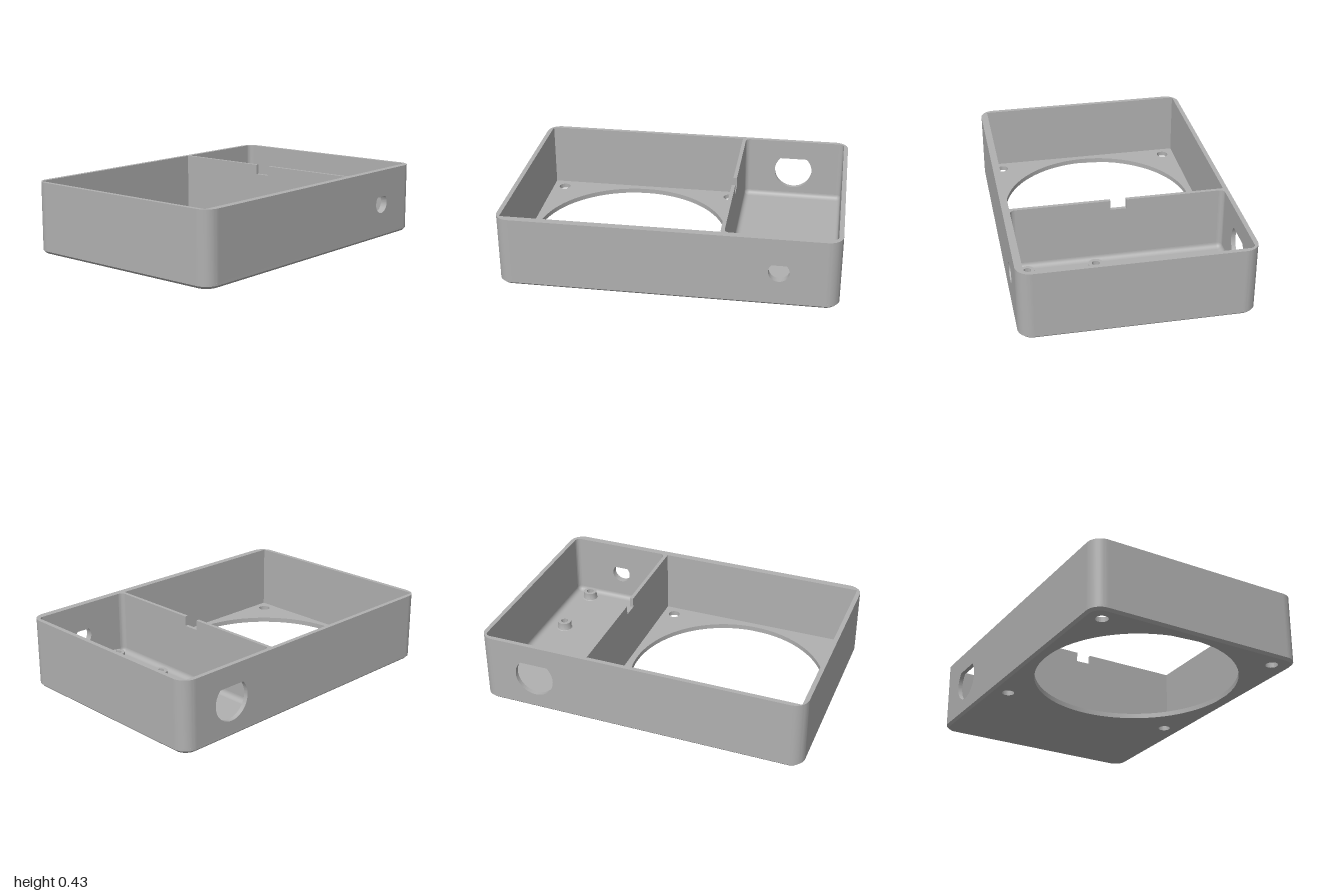
import * as THREE from 'three';
import { toCreasedNormals } from 'three/addons/utils/BufferGeometryUtils.js';

// Overall size
const W = 1, D = 0.679, H = 0.43, R = 0.085, FLOOR = 0.03, CHAMFER = 0.015;
// Inner faces of the walls
const IN_X = 0.973, BACK = -0.652, FRONT = 0.636, DIV_L = 0.31, DIV_R = 0.332;
const FILLET = 0.03;
const FAN = { x: -0.332, z: -0.008, r: 0.603, pitch: 0.566, screw: 0.037 };

export function createModel() {
  const group = new THREE.Group();
  const grey = new THREE.MeshStandardMaterial({ color: 0xb0b0b0 });
  grey.name = 'plain grey';

  const add = (name, geometry) => {
    const mesh = new THREE.Mesh(geometry, grey);
    mesh.name = name;
    group.add(mesh);
    return mesh;
  };
  const polygon = (pts) => new THREE.Shape(pts.map(([x, y]) => new THREE.Vector2(x, y)));
  const extrude = (shape, depth, steps = 1, curveSegments = 16) =>
    new THREE.ExtrudeGeometry(shape, { depth, steps, curveSegments, bevelEnabled: false });
  // Extrudes a plan drawn in (x, -z) upwards from y0 to y1
  const upright = (shape, y0, y1) =>
    toCreasedNormals(extrude(shape, y1 - y0).rotateX(-Math.PI / 2).translate(0, y0, 0), 0.5);
  const circle = (x, z, r) => new THREE.Path().absarc(x, -z, r, 0, Math.PI * 2, true);

  // Floor plate with the fan opening and four screw holes
  const plan = new THREE.Shape();
  [[1, 1], [-1, 1], [-1, -1], [1, -1]].forEach(([sx, sy], i) =>
    plan.absarc(sx * (W - R), sy * (D - R), R, i * Math.PI / 2, (i + 1) * Math.PI / 2, false));
  plan.closePath();
  plan.holes.push(circle(FAN.x, FAN.z, FAN.r));
  for (const sx of [-1, 1]) for (const sz of [-1, 1]) {
    plan.holes.push(circle(FAN.x + sx * FAN.pitch, FAN.z + sz * FAN.pitch, FAN.screw));
  }
  const floor = extrude(plan, FLOOR, 2, 40).rotateX(-Math.PI / 2);
  // Pull the lowest outline inwards to make the bottom chamfer
  const pos = floor.attributes.position;
  for (let i = 0; i < pos.count; i++) {
    if (pos.getY(i) > 0.001) continue;
    const x = pos.getX(i), z = pos.getZ(i);
    const dx = x - THREE.MathUtils.clamp(x, R - W, W - R);
    const dz = z - THREE.MathUtils.clamp(z, R - D, D - R);
    const d = Math.hypot(dx, dz);
    if (d > R - 0.001) {
      pos.setX(i, x - dx / d * CHAMFER);
      pos.setZ(i, z - dz / d * CHAMFER);
    }
  }
  add('floorPlate', toCreasedNormals(floor, 0.5));

  // Front and back walls, each with a teardrop cable hole
  const cableWall = (name, z0, z1, r) => {
    const wall = polygon([[R - W, FLOOR], [W - R, FLOOR], [W - R, H], [R - W, H]]);
    const cx = 0.65, cy = 0.219;
    const drop = new THREE.Path();
    drop.moveTo(cx, cy + r * Math.SQRT2);
    drop.absarc(cx, cy, r, Math.PI * 0.75, Math.PI * 2.25, false);
    drop.closePath();
    wall.holes.push(drop);
    add(name, toCreasedNormals(extrude(wall, z1 - z0, 1, 40).translate(0, 0, z0), 0.5));
  };
  cableWall('frontWall', FRONT, D, 0.061);
  cableWall('backWall', -D, BACK, 0.122);

  // Side walls and rounded outer corners
  for (const sx of [-1, 1]) {
    const side = new THREE.BoxGeometry(W - IN_X, H - FLOOR, 2 * (D - R));
    add(sx > 0 ? 'leftWall' : 'rightWall', side)
      .position.set(sx * (W + IN_X) / 2, (H + FLOOR) / 2, 0);
    for (const sz of [-1, 1]) {
      const zIn = sz > 0 ? FRONT : -BACK;
      const pts = [];
      for (let i = 0; i <= 16; i++) {
        const a = i / 16 * Math.PI / 2;
        pts.push([W - R + R * Math.cos(a), D - R + R * Math.sin(a)]);
      }
      pts.push([W - R, zIn], [IN_X, zIn], [IN_X, D - R]);
      add('outerCorner', upright(polygon(pts.map(([x, z]) => [sx * x, -sz * z])), FLOOR, H));
    }
  }

  // Divider between the compartments, with a wire notch in its top edge
  const n0 = -0.056, n1 = 0.04, notchY = H - 0.06;
  const divider = polygon([[BACK, FLOOR], [FRONT, FLOOR], [FRONT, H], [n1, H],
    [n1, notchY], [n0, notchY], [n0, H], [BACK, H]]);
  add('divider', extrude(divider, DIV_R - DIV_L).rotateY(-Math.PI / 2).translate(DIV_R, 0, 0));

  // Rounded upright inner corners of the small compartment
  for (const [x, sx] of [[DIV_R, 1], [IN_X, -1]]) for (const [z, sz] of [[BACK, 1], [FRONT, -1]]) {
    const pts = [[0, 0]];
    for (let i = 0; i <= 8; i++) {
      const a = i / 8 * Math.PI / 2;
      pts.push([FILLET * (1 - Math.sin(a)), FILLET * (1 - Math.cos(a))]);
    }
    add('innerCorner', upright(polygon(pts.map(([u, v]) => [x + sx * u, -(z + sz * v)])), FLOOR, H));
  }

  // Cove around the floor of the small compartment
  const verts = [], index = [], rows = 8, arc = 8, loop = 4 * (arc + 1);
  for (let k = 0; k <= rows; k++) {
    const t = k / rows * Math.PI / 2;
    const r = FILLET * Math.cos(t), y = FLOOR + 0.0005 + FILLET * (1 - Math.sin(t));
    [[1, 1], [-1, 1], [-1, -1], [1, -1]].forEach(([sx, sy], q) => {
      const cx = sx > 0 ? IN_X - FILLET : DIV_R + FILLET;
      const cz = sy > 0 ? BACK + FILLET : FRONT - FILLET;
      for (let j = 0; j <= arc; j++) {
        const a = (q + j / arc) * Math.PI / 2;
        verts.push(cx + r * Math.cos(a), y, cz - r * Math.sin(a));
      }
    });
    if (k === rows) break;
    for (let i = 0; i < loop; i++) {
      const a = k * loop + i, b = k * loop + (i + 1) % loop;
      index.push(a, b, a + loop, b, b + loop, a + loop);
    }
  }
  const cove = new THREE.BufferGeometry();
  cove.setAttribute('position', new THREE.Float32BufferAttribute(verts, 3));
  cove.setIndex(index);
  cove.computeVertexNormals();
  add('floorCove', cove);

  // Four hollow standoffs with a flared foot
  const profile = [[0.052, 0], [0.047, 0.003], [0.044, 0.01], [0.044, 0.05],
    [0.023, 0.05], [0.023, 0.008], [0, 0.008]].map(([x, y]) => new THREE.Vector2(x, y));
  const standoff = toCreasedNormals(new THREE.LatheGeometry(profile, 40).toNonIndexed(), 0.6);
  for (const x of [0.444, 0.856]) for (const z of [0.15, 0.559]) {
    add('standoff', standoff).position.set(x, FLOOR, z);
  }

  return group;
}
